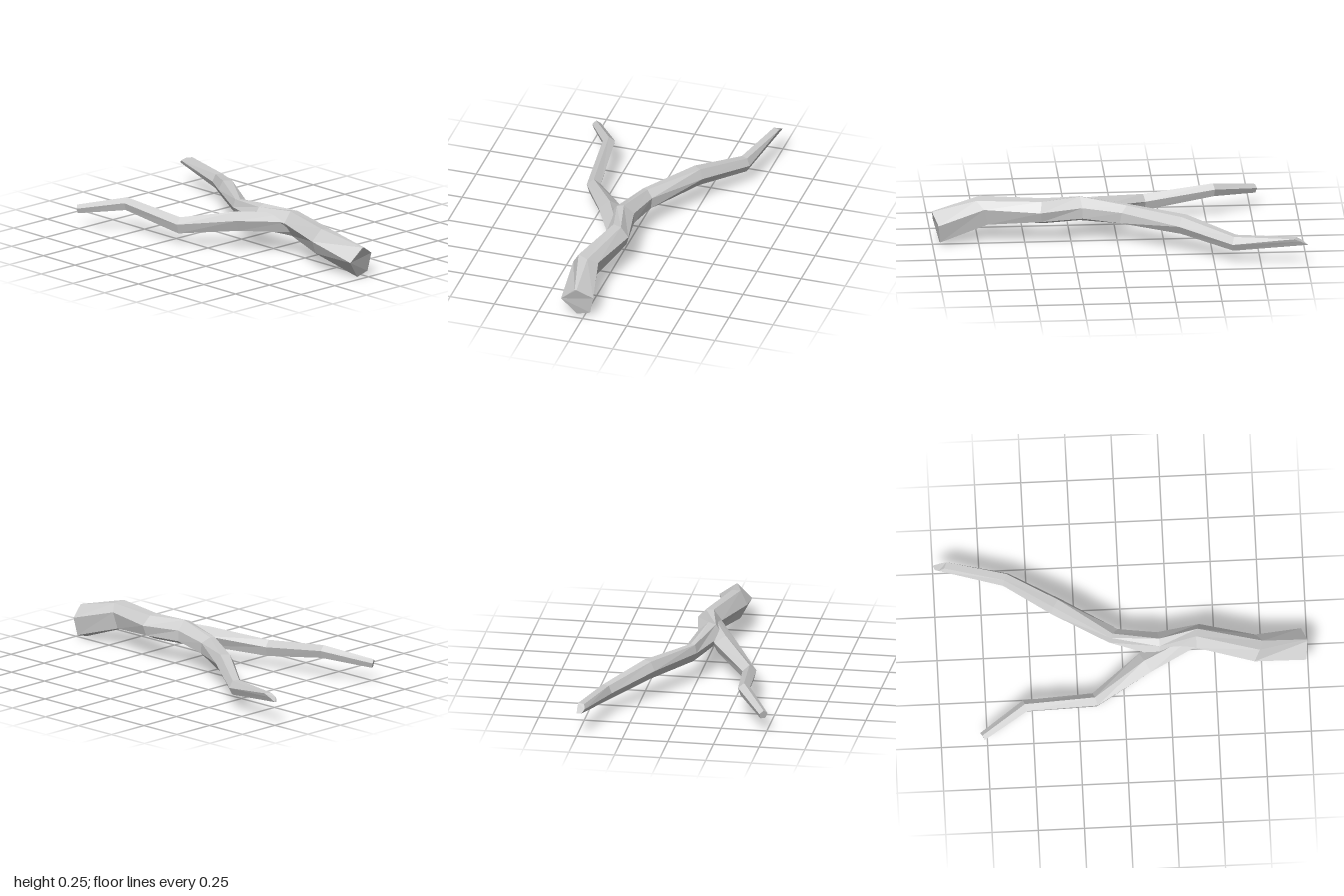
import * as THREE from 'three';

const V = (x, y, z) => new THREE.Vector3(x, y, z);

// Flat-faced skin through a list of rings, closed at both ends
function loft(name, rings, material) {
  const pos = [];
  const tri = (...pts) => pts.forEach(p => pos.push(p.x, p.y, p.z));
  const n = rings[0].length;
  for (let i = 0; i < rings.length - 1; i++) {
    const r = rings[i], s = rings[i + 1];
    for (let j = 0; j < n; j++) {
      const k = (j + 1) % n;
      tri(r[j], r[k], s[j]);
      tri(r[k], s[k], s[j]);
    }
  }
  const first = rings[0], last = rings[rings.length - 1];
  for (let j = 1; j < n - 1; j++) {
    tri(first[0], first[j + 1], first[j]);
    tri(last[0], last[j], last[j + 1]);
  }
  const g = new THREE.BufferGeometry();
  g.setAttribute('position', new THREE.Float32BufferAttribute(pos, 3));
  g.computeVertexNormals();
  const mesh = new THREE.Mesh(g, material);
  mesh.name = name;
  return mesh;
}

// Polygon ring of half-width rx and half-height ry facing along dir
function ring(c, dir, rx, ry, sides, start) {
  const t = dir.clone().normalize();
  const right = t.clone().cross(V(0, 1, 0)).normalize();
  const up = right.clone().cross(t);
  return Array.from({ length: sides }, (_, j) => {
    const a = start - (j * 2 * Math.PI) / sides;
    return c.clone().addScaledVector(right, rx * Math.cos(a)).addScaledVector(up, ry * Math.sin(a));
  });
}

// Rings along a bent path; each stop is [x, y, z, rx, ry]
function pathRings(stops, sides, start) {
  const pts = stops.map(s => V(s[0], s[1], s[2]));
  return stops.map((s, i) => {
    const dir = V(0, 0, 0);
    if (i > 0) dir.add(pts[i].clone().sub(pts[i - 1]).normalize());
    if (i < pts.length - 1) dir.add(pts[i + 1].clone().sub(pts[i]).normalize());
    return ring(pts[i], dir, s[3], s[4], sides, start);
  });
}

export function createModel() {
  const group = new THREE.Group();
  group.name = 'forkedBranch';
  const bark = new THREE.MeshStandardMaterial({ color: 0xcccccc, flatShading: true });
  bark.name = 'light grey bark';

  // Thick stem: left, upper left, upper right, right, lower right, lower left
  const stem = [
    [[-.125, .10, .99], [-.045, .173, 1], [-.035, .173, 1], [.05, .12, .97], [.03, .02, .96], [-.045, 0, .96]],
    [[-.145, .165, .71], [-.105, .235, .74], [-.05, .225, .76], [0, .19, .72], [-.015, .10, .70], [-.11, .09, .70]],
    [[-.06, .185, .40], [-.015, .245, .40], [.03, .24, .41], [.075, .19, .42], [.06, .135, .41], [-.005, .105, .40]],
    [[-.10, .18, .20], [-.06, .235, .20], [-.02, .247, .20], [.035, .20, .19], [.035, .14, .19], [-.04, .105, .20]],
    [[0, .165, -.07], [.01, .21, -.06], [.035, .21, -.05], [.07, .18, -.02], [.065, .12, -.01], [.02, .112, -.05]]
  ];

  // Long fork carries on from the stem and ends in a slanted tip
  const fork = pathRings([
    [.03, .165, -.05, .05, .05],
    [.22, .163, -.345, .05, .056],
    [.405, .117, -.61, .038, .046],
    [.482, .142, -.96, .02, .024]
  ], 6, Math.PI).slice(1, 3);
  const tip = [[.462, .145, -.97], [.468, .165, -.94], [.503, .165, -.925], [.503, .15, -.96], [.50, .13, -1], [.475, .128, -.99]];
  const toRing = r => r.map(p => V(...p));
  group.add(loft('stemAndLongFork', [...stem.map(toRing), ...fork, toRing(tip)], bark));

  // Short crooked fork, rooted inside the stem
  const side = pathRings([
    [0, .175, .39, .055, .055],
    [-.125, .152, .12, .065, .055],
    [-.305, .103, -.16, .04, .047],
    [-.34, .152, -.54, .035, .037],
    [-.485, .102, -.775, .025, .025]
  ], 5, Math.PI * 0.9);
  group.add(loft('shortFork', side, bark));
  return group;
}
